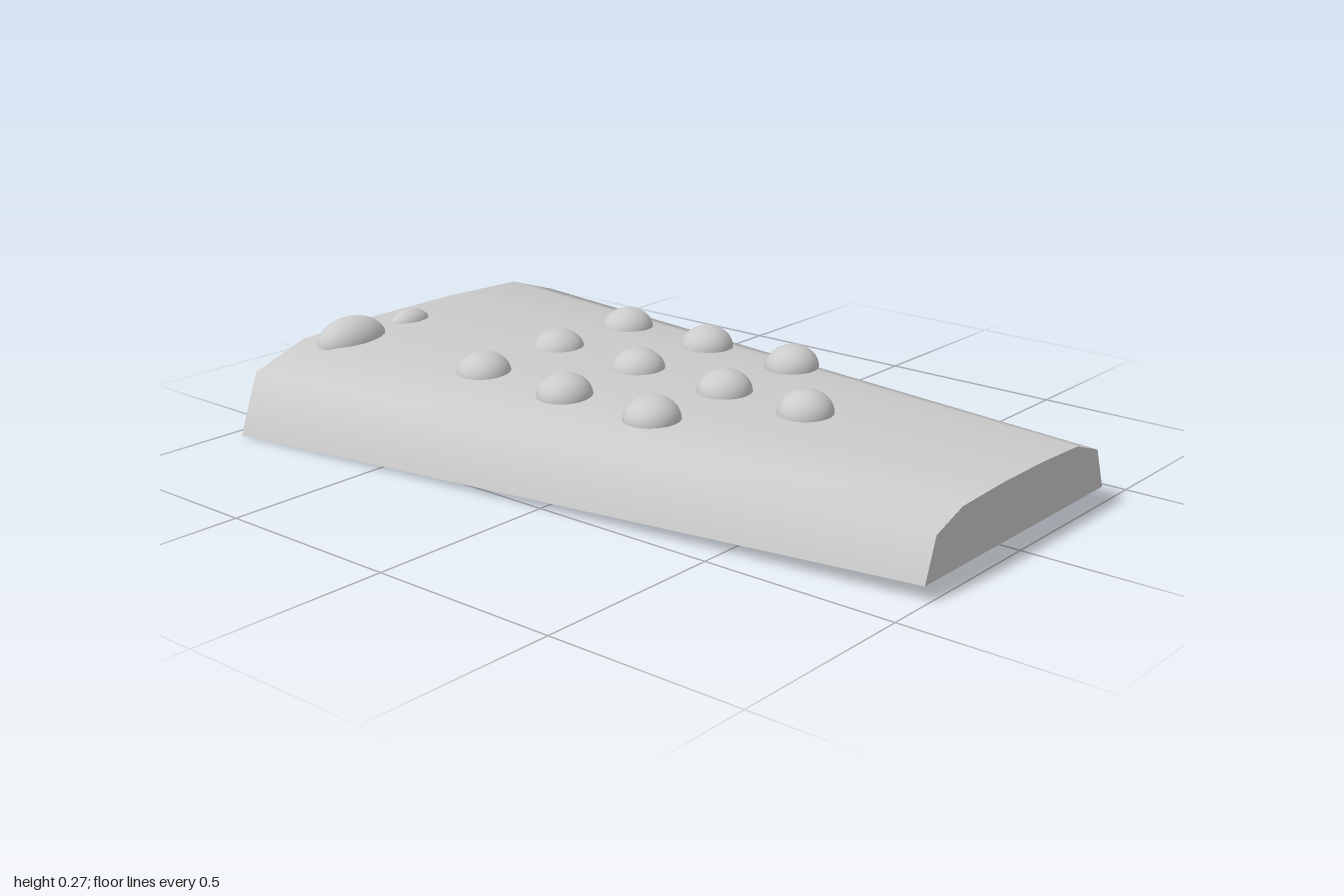
import * as THREE from 'three';

const material = new THREE.MeshStandardMaterial({ color: 0xcccccc, side: THREE.DoubleSide });

// Arched cross-section of the casing, from one lower edge to the other
const half = [[0.62, 0], [0.56, 0.16], [0.4, 0.214], [0.14, 0.224]];
const profile = [...half.map(([x, y]) => [-x, y]), ...[...half].reverse()];
const ends = [
  { z: 0.995, lift: 0.04, sx: 0.62, sy: 0.645 }, // narrow front
  { z: -0.965, lift: 0, sx: 1, sy: 1 },          // wide back
];
const section = (e) => profile.map(([x, y]) => [x * e.sx, e.lift + y * e.sy]);

function add(parent, name, geometry, x = 0, y = 0, z = 0) {
  const mesh = new THREE.Mesh(geometry, material);
  mesh.name = name;
  mesh.position.set(x, y, z);
  parent.add(mesh);
  return mesh;
}

// Tapered shell, open underneath, with smooth normals across the arch
function shellGeometry() {
  const positions = [];
  const index = [];
  const n = profile.length;
  for (const e of ends) for (const [x, y] of section(e)) positions.push(x, y, e.z);
  for (let i = 0; i < n - 1; i++) index.push(i, i + 1, n + i, i + 1, n + i + 1, n + i);
  const g = new THREE.BufferGeometry();
  g.setAttribute('position', new THREE.Float32BufferAttribute(positions, 3));
  g.setIndex(index);
  g.computeVertexNormals();
  return g;
}

function endGeometry(e) {
  return new THREE.ShapeGeometry(new THREE.Shape(section(e).map(([x, y]) => new THREE.Vector2(x, y))));
}

// Open half-ellipsoid button
function domeGeometry(rx, ry, rz) {
  return new THREE.SphereGeometry(1, 32, 12, 0, Math.PI * 2, 0, Math.PI / 2).scale(rx, ry, rz);
}

export function createModel() {
  const model = new THREE.Group();
  model.name = 'remoteControl';

  // Casing
  const casing = new THREE.Group();
  casing.name = 'casing';
  model.add(casing);
  add(casing, 'shell', shellGeometry());
  add(casing, 'frontEnd', endGeometry(ends[0]), 0, 0, ends[0].z);
  add(casing, 'backEnd', endGeometry(ends[1]), 0, 0, ends[1].z).rotation.y = Math.PI;

  // Keypad: three rows of three and a single key below
  const keypad = new THREE.Group();
  keypad.name = 'keypad';
  model.add(keypad);
  const key = domeGeometry(0.074, 0.058, 0.068);
  for (const z of [-0.407, -0.127, 0.155])
    for (const x of [-0.275, 0, 0.278]) add(keypad, 'keyButton', key, x, 0.198, z);
  add(keypad, 'keyButton', key, 0, 0.196, 0.402);

  // Oval buttons near the back
  add(model, 'powerButton', domeGeometry(0.106, 0.066, 0.068), -0.307, 0.206, -0.875);
  add(model, 'smallButton', domeGeometry(0.062, 0.039, 0.04), -0.097, 0.211, -0.875);

  // Emitter on the back end
  add(model, 'emitter', new THREE.BoxGeometry(0.14, 0.052, 0.05), 0.375, 0.067, -0.975);

  return model;
}
